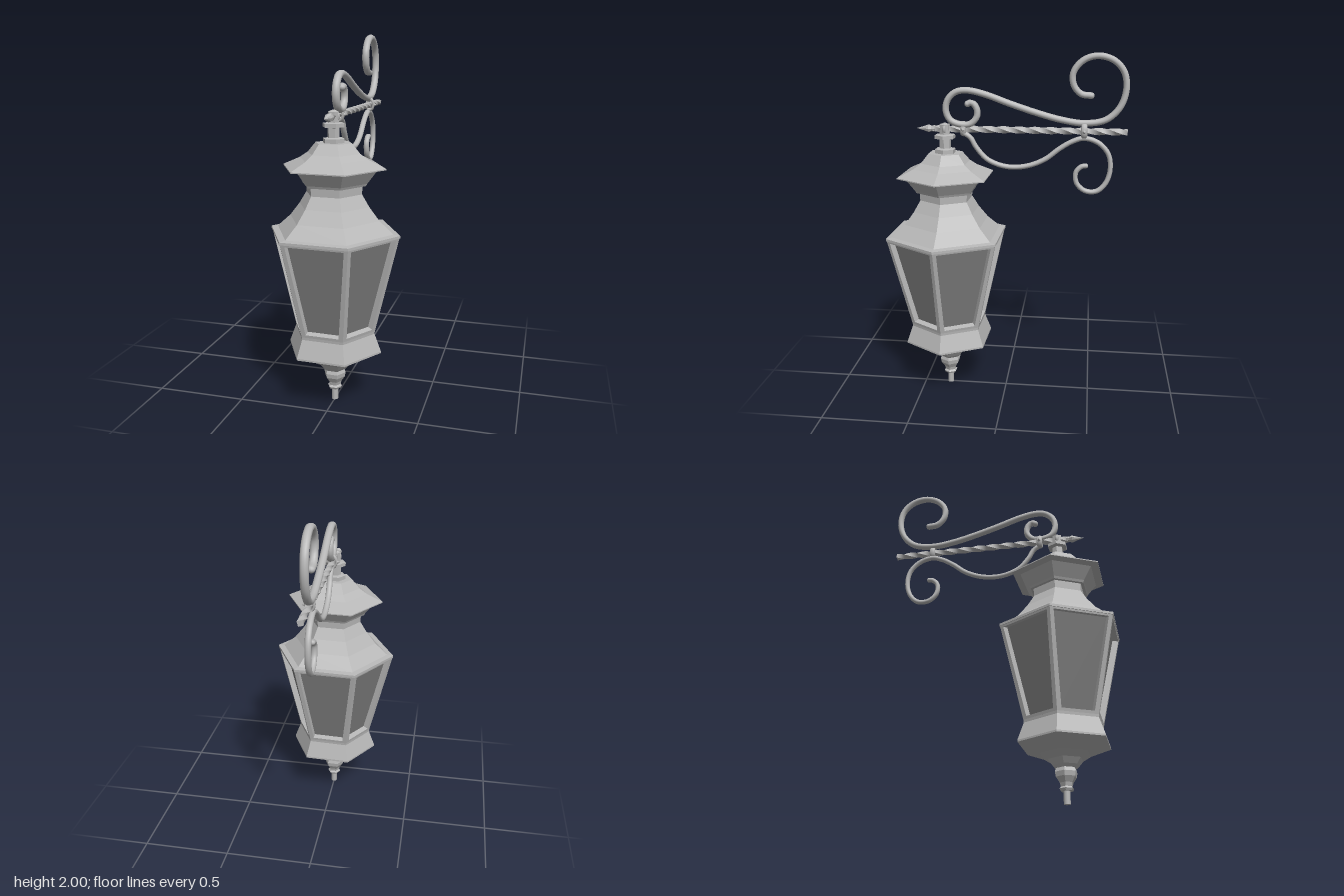
import * as THREE from 'three';

const AXIS_Z = 0.344;              // lantern axis
const TURN = THREE.MathUtils.degToRad(27.5);
const ARM_Y = 1.58;

const metal = new THREE.MeshStandardMaterial({ color: 0xb8b8b8 });
metal.name = 'grey metal';
const glass = new THREE.MeshStandardMaterial({ color: 0x7e7e7e });
glass.name = 'dark glass';

function flat(geometry) {
  const g = geometry.index ? geometry.toNonIndexed() : geometry;
  g.computeVertexNormals();
  return g;
}

function add(parent, name, geometry, material = metal) {
  const mesh = new THREE.Mesh(geometry, material);
  mesh.name = name;
  parent.add(mesh);
  return mesh;
}

// six-sided faceted turning from [radius, height] pairs
function hexTurning(profile) {
  const points = profile.map(([r, y]) => new THREE.Vector2(r, y));
  return flat(new THREE.LatheGeometry(points, 6, TURN));
}

// trapezoid outline, half widths at the bottom and top
function trapezoid(Type, wBottom, wTop, y0, y1) {
  const s = new Type();
  s.moveTo(-wBottom, y0);
  s.lineTo(wBottom, y0);
  s.lineTo(wTop, y1);
  s.lineTo(-wTop, y1);
  s.closePath();
  return s;
}

// window plate with edges inset from the side, from depth z0 to z1 behind it
function windowPlate(outline, inset, holeInset, z0, z1) {
  const at = (Type, m) => trapezoid(Type, outline.low - m, outline.high - m, m * 0.7, outline.height - m * 0.7);
  const shape = at(THREE.Shape, inset);
  if (holeInset) shape.holes.push(at(THREE.Path, holeInset));
  const g = new THREE.ExtrudeGeometry(shape, { depth: z1 - z0, bevelEnabled: false });
  return g.translate(0, 0, -z1);
}

// smooth bar bent along [z, y] points, with rounded ends
function scroll(parent, name, coords, radius) {
  const points = coords.map(([z, y]) => new THREE.Vector3(0, y, z - AXIS_Z));
  const curve = new THREE.CatmullRomCurve3(points, false, 'centripetal');
  const group = new THREE.Group();
  group.name = name;
  group.scale.x = 1.2;             // slightly flattened section
  parent.add(group);
  add(group, 'scrollBar', new THREE.TubeGeometry(curve, 120, radius, 10));
  for (const p of [points[0], points[points.length - 1]]) {
    add(group, 'scrollEnd', new THREE.SphereGeometry(radius, 10, 8)).position.copy(p);
  }
}

function buildLantern() {
  const lantern = new THREE.Group();
  lantern.name = 'lantern';
  lantern.position.z = AXIS_Z;

  add(lantern, 'bottomStem', new THREE.CylinderGeometry(0.018, 0.018, 0.08, 10)).position.y = 0.04;
  add(lantern, 'bottomFinial', hexTurning([
    [0, 0.068], [0.034, 0.068], [0.041, 0.08], [0.032, 0.09], [0.038, 0.11],
    [0.058, 0.14], [0.063, 0.165], [0.056, 0.185], [0.045, 0.195], [0, 0.195]]));
  add(lantern, 'base', hexTurning([
    [0, 0.185], [0.06, 0.185], [0.075, 0.2], [0.1, 0.23], [0.145, 0.259],
    [0.265, 0.308], [0.265, 0.318], [0.228, 0.415], [0.23, 0.432], [0, 0.432]]));
  add(lantern, 'shoulder', hexTurning([
    [0, 0.96], [0.363, 0.96], [0.363, 0.974], [0.325, 0.978], [0.25, 1.045],
    [0.195, 1.115], [0.155, 1.18], [0.158, 1.24], [0, 1.24]]));
  add(lantern, 'roof', hexTurning([
    [0, 1.225], [0.176, 1.225], [0.183, 1.238], [0.236, 1.308], [0.285, 1.314],
    [0.285, 1.32], [0.19, 1.362], [0.145, 1.392], [0.1, 1.445], [0, 1.445]]));
  add(lantern, 'hanger', hexTurning([
    [0, 1.44], [0.06, 1.44], [0.06, 1.467], [0.033, 1.472], [0.033, 1.522],
    [0.06, 1.526], [0.06, 1.546], [0.03, 1.55], [0.03, 1.605], [0, 1.612]]));

  // six leaning windows with panes set deep behind their frames
  const [rLow, rHigh, yLow, yHigh] = [0.23, 0.36, 0.43, 0.965];
  const apothem = Math.cos(Math.PI / 6);
  const lean = Math.atan2((rHigh - rLow) * apothem, yHigh - yLow);
  const outline = { low: rLow / 2, high: rHigh / 2, height: (yHigh - yLow) / Math.cos(lean) };
  const parts = [
    ['windowFrame', windowPlate(outline, 0, 0.023, 0, 0.006), metal],
    ['windowReveal', windowPlate(outline, 0.02, 0.023, 0.004, 0.038), metal],
    ['windowPane', windowPlate(outline, 0.022, 0, 0.034, 0.038), glass],
  ];
  for (let i = 0; i < 6; i++) {
    const side = new THREE.Group();
    side.name = 'windowSide';
    side.rotation.y = TURN + Math.PI / 6 + i * Math.PI / 3;
    const tilt = new THREE.Group();
    tilt.name = 'window';
    tilt.position.set(0, yLow, rLow * apothem);
    tilt.rotation.x = lean;
    for (const [name, geometry, material] of parts) add(tilt, name, geometry, material);
    side.add(tilt);
    lantern.add(side);
  }
  return lantern;
}

function buildArm() {
  const arm = new THREE.Group();
  arm.name = 'wallArm';
  arm.position.z = AXIS_Z;

  // twisted square bar
  const zBack = -0.664, zFront = 0.41, length = zFront - zBack;
  const bar = new THREE.BoxGeometry(0.028, 0.028, length, 1, 1, 90);
  const pos = bar.attributes.position;
  const v = new THREE.Vector3();
  const zAxis = new THREE.Vector3(0, 0, 1);
  for (let i = 0; i < pos.count; i++) {
    v.fromBufferAttribute(pos, i).applyAxisAngle(zAxis, pos.getZ(i) * 18);
    pos.setXYZ(i, v.x, v.y, v.z);
  }
  bar.computeVertexNormals();
  add(arm, 'twistedBar', bar).position.set(0, ARM_Y, (zBack + zFront) / 2 - AXIS_Z);

  // spear tip at the front of the bar
  const tip = [[0, 0], [0.019, 0], [0.016, 0.02], [0.022, 0.036], [0.012, 0.065], [0, 0.107]]
    .map(([r, y]) => new THREE.Vector2(r, y));
  const spear = add(arm, 'spearTip', flat(new THREE.LatheGeometry(tip, 8)));
  spear.rotation.x = Math.PI / 2;
  spear.position.set(0, ARM_Y, 0.398 - AXIS_Z);

  // scrolls above and below the bar, swung slightly sideways
  const scrolls = new THREE.Group();
  scrolls.name = 'scrolls';
  scrolls.position.x = 0.01;
  scrolls.rotation.y = 0.029;
  arm.add(scrolls);
  scroll(scrolls, 'upperScroll', [
    [0.212, 1.72], [0.19, 1.728], [0.164, 1.70], [0.16, 1.655], [0.195, 1.612],
    [0.25, 1.606], [0.31, 1.63], [0.334, 1.685], [0.322, 1.742], [0.28, 1.783],
    [0.22, 1.794], [0.12, 1.774], [-0.02, 1.724], [-0.18, 1.672], [-0.31, 1.638],
    [-0.43, 1.622], [-0.545, 1.642], [-0.618, 1.71], [-0.648, 1.81], [-0.632, 1.9],
    [-0.575, 1.96], [-0.49, 1.982], [-0.412, 1.957], [-0.362, 1.893], [-0.367, 1.826],
    [-0.408, 1.78], [-0.462, 1.772]], 0.018);
  scroll(scrolls, 'lowerScroll', [
    [0.238, 1.56], [0.2, 1.535], [0.167, 1.48], [0.11, 1.416], [0.035, 1.381],
    [-0.045, 1.37], [-0.135, 1.383], [-0.22, 1.42], [-0.298, 1.48], [-0.365, 1.52],
    [-0.43, 1.539], [-0.51, 1.515], [-0.567, 1.452], [-0.58, 1.365], [-0.557, 1.287],
    [-0.508, 1.241], [-0.445, 1.242], [-0.397, 1.285], [-0.391, 1.347], [-0.42, 1.38],
    [-0.445, 1.385]], 0.014);

  // bands clamping the scrolls to the bar, each with rivets
  for (const [z, riveted] of [[0.238, [-1, 1]], [-0.43, [1]]]) {
    const band = add(arm, 'clampBand', new THREE.TorusGeometry(0.027, 0.009, 8, 20));
    band.scale.set(0.8, 1.2, 1.9);
    band.position.set(0, ARM_Y + 0.002, z - AXIS_Z);
    for (const s of riveted) {
      const rivet = add(arm, 'clampRivet', new THREE.ConeGeometry(0.014, 0.022, 8));
      rivet.rotation.z = -s * Math.PI / 2;
      rivet.position.set(s * 0.032, ARM_Y, z - AXIS_Z);
    }
  }

  // loop hanging the lantern from the bar
  const loop = add(arm, 'hangerLoop', new THREE.TorusGeometry(0.025, 0.01, 8, 20));
  loop.position.set(0, ARM_Y, 0);
  return arm;
}

export function createModel() {
  const model = new THREE.Group();
  model.name = 'wallLantern';
  model.add(buildLantern(), buildArm());
  return model;
}
